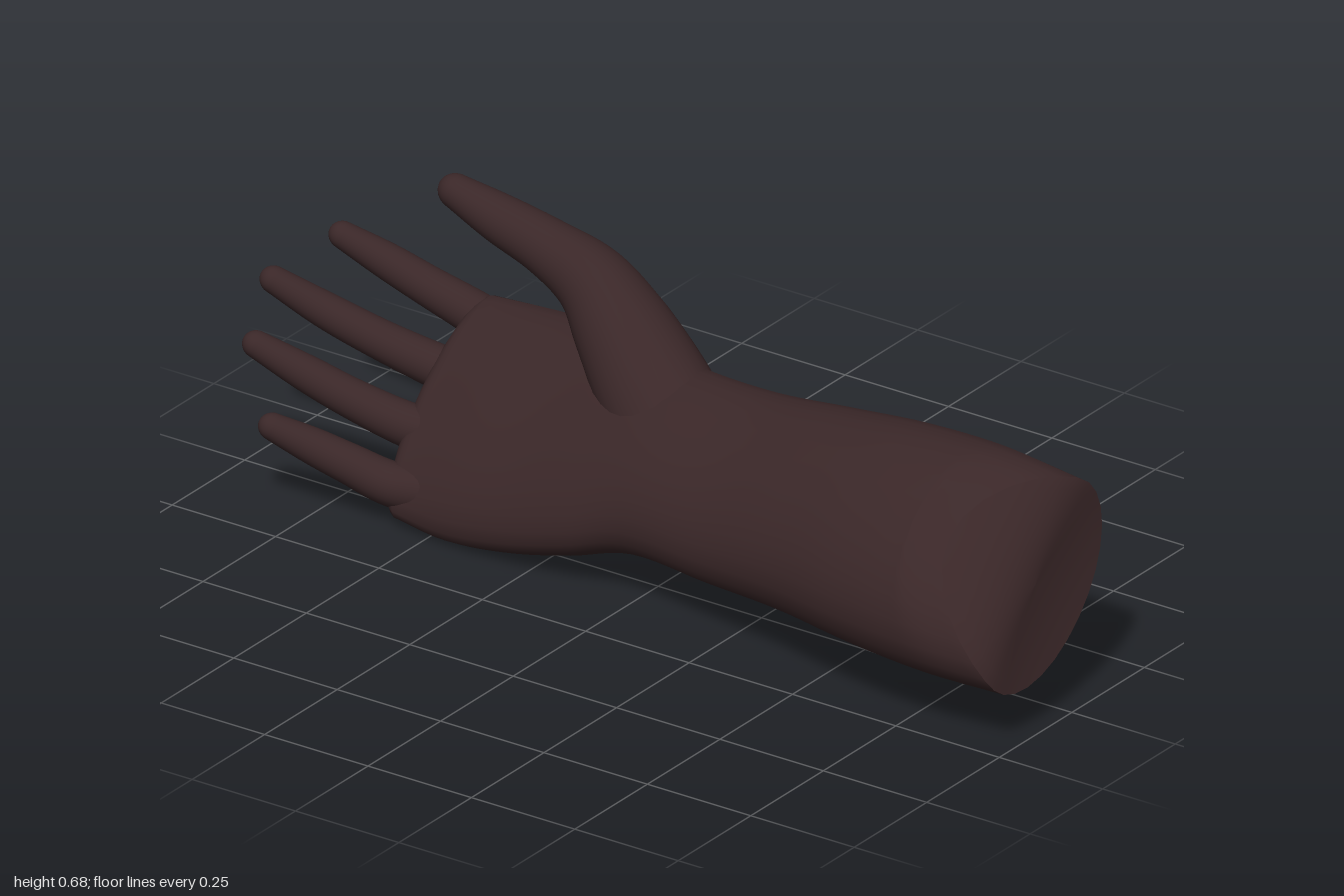
import * as THREE from 'three';

const SIDES = 28;
const ACROSS = new THREE.Vector3(0, 1, -1).normalize(); // across the palm, towards the thumb
const TO_HAND = new THREE.Vector3(-1, 0, 0);

// Rings along stations [x, y, z, half width across, half thickness], with a rounded end
function ringsAlong(stations, steps, endLength, fixedTangent) {
  const centre = new THREE.CatmullRomCurve3(stations.map(s => new THREE.Vector3(s[0], s[1], s[2])), false, 'catmullrom');
  const size = new THREE.CatmullRomCurve3(stations.map(s => new THREE.Vector3(s[3], s[4], 0)), false, 'catmullrom');
  const rings = [];
  for (let i = 0; i <= steps; i++) {
    const k = i / steps, s = size.getPoint(k);
    rings.push({ c: centre.getPoint(k), t: fixedTangent || centre.getTangent(k), a: s.x, b: s.y });
  }
  const last = rings[rings.length - 1];
  for (let i = 1; i <= 6; i++) {
    const q = (i / 6) * Math.PI / 2, f = Math.max(Math.cos(q), 0.001);
    rings.push({ c: last.c.clone().addScaledVector(last.t, endLength * Math.sin(q)), t: last.t, a: last.a * f, b: last.b * f });
  }
  return rings;
}

// Skin joining successive elliptical rings; an optional rule moves each vertex
function loft(rings, rule) {
  const pos = [], index = [], p = new THREE.Vector3();
  rings.forEach((r, i) => {
    const v = new THREE.Vector3().crossVectors(r.t, ACROSS).normalize();
    const u = new THREE.Vector3().crossVectors(v, r.t).normalize();
    for (let j = 0; j < SIDES; j++) {
      const q = (j / SIDES) * Math.PI * 2;
      p.copy(r.c).addScaledVector(u, r.a * Math.cos(q)).addScaledVector(v, r.b * Math.sin(q));
      if (rule) rule(p);
      pos.push(p.x, p.y, p.z);
      if (i + 1 < rings.length) {
        const k = (j + 1) % SIDES, a = i * SIDES + j, b = i * SIDES + k;
        index.push(a, b, b + SIDES, a, b + SIDES, a + SIDES);
      }
    }
  });
  const g = new THREE.BufferGeometry();
  g.setAttribute('position', new THREE.Float32BufferAttribute(pos, 3));
  g.setIndex(index);
  g.computeVertexNormals();
  return g;
}

// The cut end slants back on the palm side of the forearm
function slantEnd(p) {
  const k = THREE.MathUtils.clamp((p.x - 0.75) / 0.23, 0, 1);
  const n = (p.y - 0.305 + p.z - 0.075) * Math.SQRT1_2;
  p.x -= k * (6 * Math.max(0, n) ** 2 + 0.1 * n);
}

export function createModel() {
  const model = new THREE.Group();
  model.name = 'handAndForearm';
  const skin = new THREE.MeshStandardMaterial({ color: 0x3a2728 });
  skin.name = 'darkBrown';
  const add = (name, geometry) => {
    const mesh = new THREE.Mesh(geometry, skin);
    mesh.name = name;
    model.add(mesh);
  };

  // Forearm, wrist and palm in one skin
  const arm = [
    [0.98, 0.305, 0.075, 0.232, 0.150],
    [0.80, 0.320, 0.085, 0.242, 0.160],
    [0.60, 0.315, 0.065, 0.235, 0.155],
    [0.40, 0.298, 0.030, 0.217, 0.143],
    [0.20, 0.277, 0.000, 0.205, 0.125],
    [0.00, 0.268, -0.030, 0.202, 0.118],
    [-0.15, 0.245, -0.055, 0.235, 0.115],
    [-0.30, 0.218, -0.075, 0.253, 0.110],
    [-0.45, 0.200, -0.088, 0.258, 0.102],
    [-0.58, 0.203, -0.090, 0.247, 0.070],
  ];
  add('forearmAndPalm', loft(ringsAlong(arm, 54, 0.05, TO_HAND), slantEnd));

  // Closed end of the forearm, slightly dented
  const [ex, ey, ez, ea, eb] = arm[0];
  const endRings = [];
  for (let i = 0; i <= 8; i++) {
    const f = Math.max(i / 8, 0.001);
    endRings.push({ c: new THREE.Vector3(ex - 0.015 * (1 - f * f), ey, ez), t: TO_HAND, a: ea * f, b: eb * f });
  }
  add('forearmEnd', loft(endRings, slantEnd));

  // Thumb with its broad root
  add('thumb', loft(ringsAlong([
    [0.04, 0.285, -0.045, 0.120, 0.090],
    [-0.08, 0.365, -0.105, 0.118, 0.108],
    [-0.19, 0.455, -0.150, 0.100, 0.100],
    [-0.28, 0.525, -0.175, 0.078, 0.082],
    [-0.39, 0.570, -0.178, 0.060, 0.062],
    [-0.50, 0.610, -0.165, 0.050, 0.052],
    [-0.595, 0.645, -0.155, 0.036, 0.040],
  ], 36, 0.04)));

  // Fingers: points from inside the palm to the tip, curling towards the palm side
  const fingers = {
    indexFinger: [[-0.48, 0.31, -0.225], [-0.61, 0.337, -0.243], [-0.72, 0.370, -0.237], [-0.81, 0.408, -0.220], [-0.895, 0.453, -0.190]],
    middleFinger: [[-0.48, 0.235, -0.145], [-0.61, 0.256, -0.138], [-0.74, 0.290, -0.116], [-0.86, 0.337, -0.085], [-0.96, 0.394, -0.045]],
    ringFinger: [[-0.48, 0.165, -0.050], [-0.61, 0.176, -0.025], [-0.73, 0.210, 0.000], [-0.83, 0.253, 0.028], [-0.925, 0.305, 0.065]],
    littleFinger: [[-0.48, 0.085, 0.030], [-0.60, 0.083, 0.055], [-0.69, 0.115, 0.082], [-0.76, 0.145, 0.108], [-0.83, 0.182, 0.145]],
  };
  const radii = [0.052, 0.046, 0.041, 0.037, 0.028];
  for (const [name, points] of Object.entries(fingers)) {
    add(name, loft(ringsAlong(points.map((p, i) => [...p, radii[i], radii[i] * 1.05]), 28, 0.03)));
  }
  return model;
}
